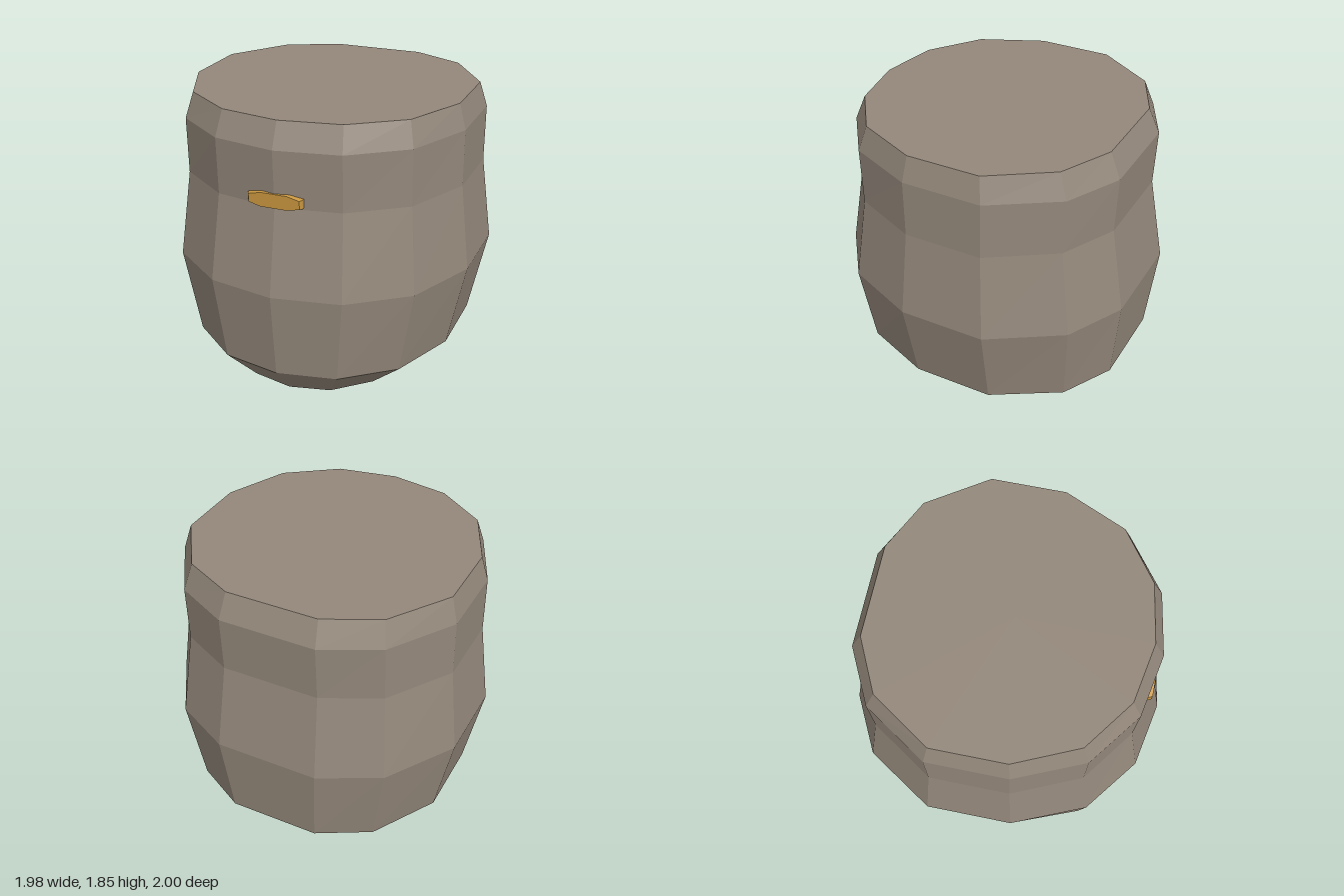
import * as THREE from 'three';

// Lofts closed rings of [x, y, z] points, capped at both ends, with flat facets.
function loft(rings) {
  const pos = [];
  const tri = (...pts) => pts.forEach((p) => pos.push(...p));
  const n = rings[0].length;
  const centre = (ring) => [0, 1, 2].map((k) => ring.reduce((s, p) => s + p[k], 0) / n);
  const first = rings[0];
  const last = rings[rings.length - 1];
  const c0 = centre(first);
  const c1 = centre(last);
  for (let i = 0; i < n; i++) {
    const j = (i + 1) % n;
    for (let r = 0; r < rings.length - 1; r++) {
      const lo = rings[r];
      const hi = rings[r + 1];
      tri(lo[i], lo[j], hi[j]);
      tri(lo[i], hi[j], hi[i]);
    }
    tri(c0, first[j], first[i]);
    tri(c1, last[i], last[j]);
  }
  const g = new THREE.BufferGeometry();
  g.setAttribute('position', new THREE.Float32BufferAttribute(pos, 3));
  g.computeVertexNormals();
  return g;
}

export function createModel() {
  const group = new THREE.Group();
  const stone = new THREE.MeshStandardMaterial({ color: 0x94887b });
  stone.name = 'warm grey';
  const bronze = new THREE.MeshStandardMaterial({ color: 0xc8963f });
  bronze.name = 'bronze';

  // Thirteen-sided outline: front corner, then the left half, mirrored to the right.
  const half = [[0.43, 0.92], [0.79, 0.65], [0.99, 0.185], [0.99, -0.37], [0.71, -0.81], [0.335, -1]];
  const outline = [[0, 1], ...half, ...half.slice().reverse().map(([x, z]) => [-x, z])];

  // Height, width scale and depth scale of each ring, from the base up.
  const levels = [
    [0, 0.607, 0.745],
    [0.22, 0.88, 0.94],
    [0.78, 1, 1],
    [1.33, 0.935, 0.905],
    [1.69, 0.935, 0.92],
    [1.85, 0.89, 0.85],
  ];
  const body = new THREE.Mesh(
    loft(levels.map(([y, sx, sz]) => outline.map(([x, z]) => [x * sx, y, z * sz]))), stone);
  body.name = 'body';
  group.add(body);

  // Long octagonal plate on the front, tapering slightly towards its face.
  const plate = [[-0.09, -0.048], [0.09, -0.048], [0.175, -0.028], [0.175, 0.028],
    [0.09, 0.048], [-0.09, 0.048], [-0.175, 0.028], [-0.175, -0.028]];
  const clasp = new THREE.Mesh(
    loft([[0.87, 1], [0.893, 1], [0.915, 0.93]].map(([z, s]) =>
      plate.map(([x, y]) => [x * s, 1.373 + y * s, z]))), bronze);
  clasp.name = 'frontClasp';
  group.add(clasp);

  return group;
}
